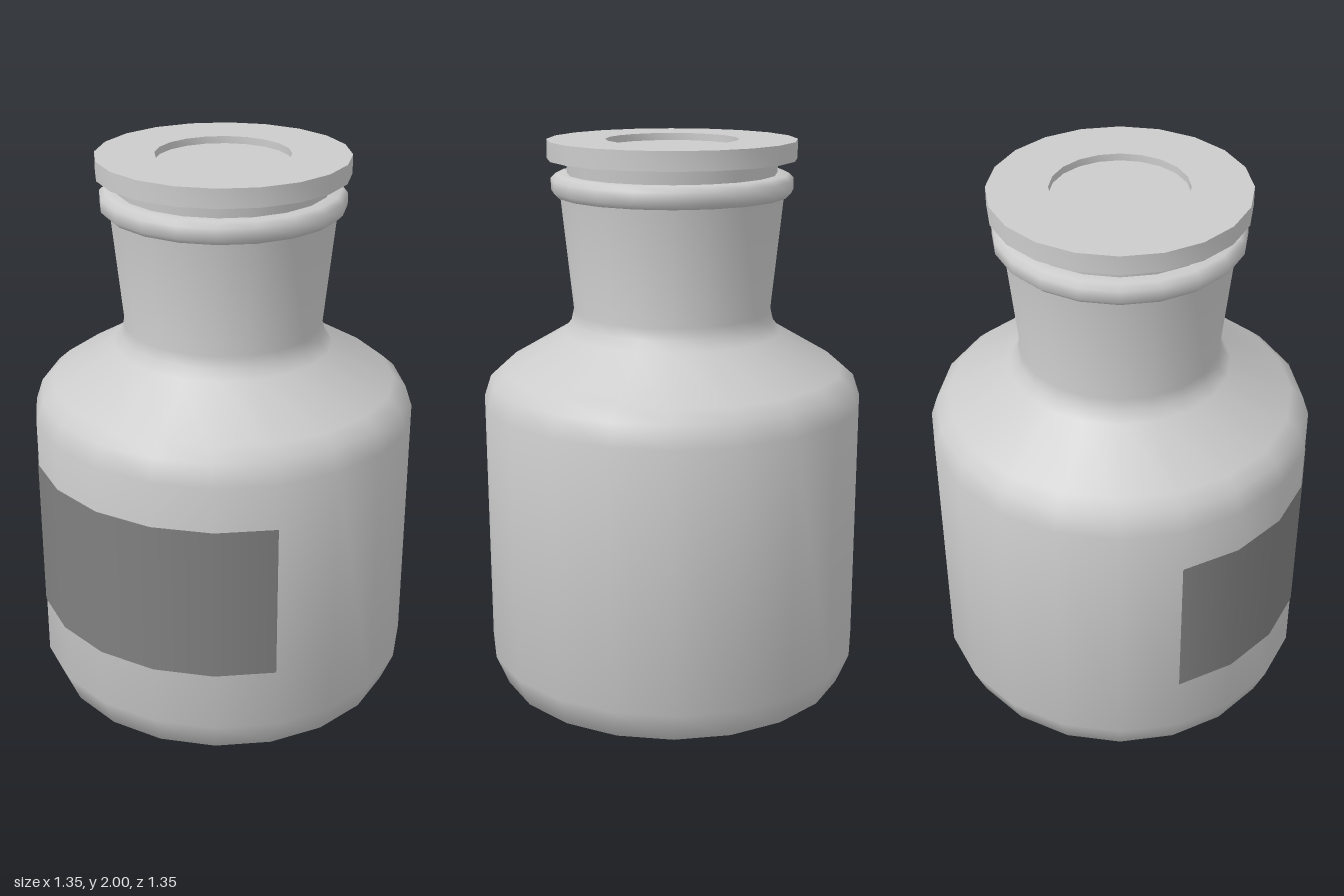
import * as THREE from 'three';
import { toCreasedNormals } from 'three/addons/utils/BufferGeometryUtils.js';

const SIDES = 20;

// Turned part from [radius, height] pairs running bottom to top along the outside
function turned(name, profile, material) {
  const points = profile.map(([r, y]) => new THREE.Vector2(r, y));
  const mesh = new THREE.Mesh(toCreasedNormals(new THREE.LatheGeometry(points, SIDES), 0.9), material);
  mesh.name = name;
  return mesh;
}

export function createModel() {
  const group = new THREE.Group();
  group.name = 'stopperedBottle';
  const grey = new THREE.MeshStandardMaterial({ color: 0xcccccc });
  const dark = new THREE.MeshStandardMaterial({ color: 0x808080, side: THREE.DoubleSide });

  // Bottle: base, rounded heel, straight wall, sloping shoulder, flared neck
  group.add(turned('bottleBody', [
    [0, 0], [0.5, 0], [0.63, 0.05], [0.675, 0.16],
    [0.675, 1.09], [0.65, 1.165], [0.605, 1.205],
    [0.385, 1.335], [0.357, 1.37], [0.348, 1.41], [0.39, 1.82],
  ], grey));

  // Rounded lip around the mouth, meeting the stopper on the inside
  group.add(turned('neckLip', [
    [0.37, 1.81], [0.402, 1.81], [0.42, 1.828], [0.42, 1.868],
    [0.402, 1.885], [0.35, 1.885],
  ], grey));

  // Tapered plug that sits in the neck
  group.add(turned('stopperPlug', [
    [0, 1.45], [0.325, 1.45], [0.368, 1.94],
  ], grey));

  // Flat stopper cap with a shallow round recess on top
  group.add(turned('stopperCap', [
    [0, 1.935], [0.432, 1.935], [0.432, 2], [0.23, 2], [0.23, 1.975], [0, 1.975],
  ], grey));

  // Label wrapped over six front facets
  const arc = (6 / SIDES) * Math.PI * 2;
  const label = new THREE.Mesh(
    new THREE.CylinderGeometry(0.678, 0.678, 0.555, 6, 1, true, -arc / 2, arc), dark);
  label.name = 'label';
  label.position.y = 0.653;
  group.add(label);

  return group;
}
